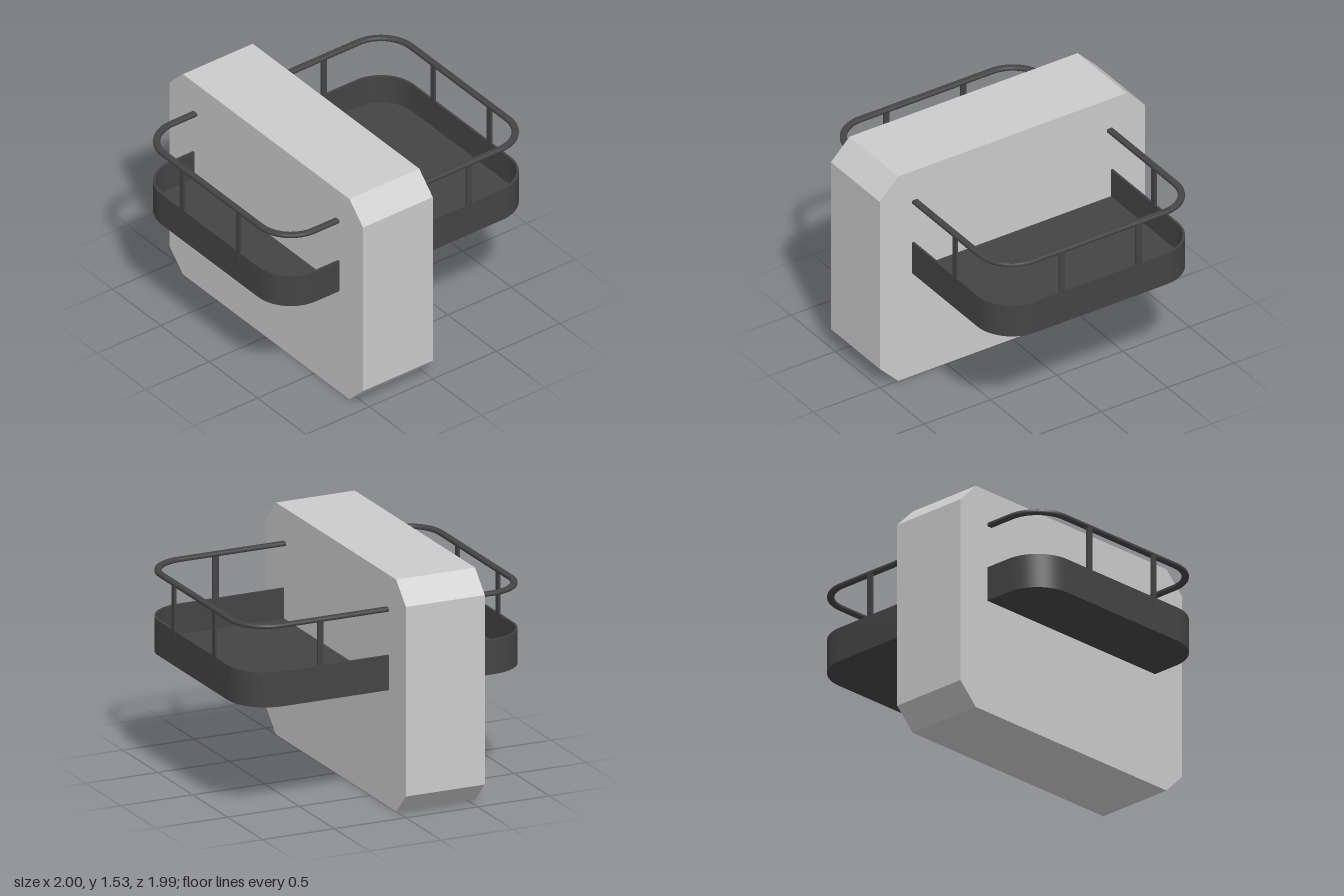
import * as THREE from 'three';
import { toCreasedNormals } from 'three/addons/utils/BufferGeometryUtils.js';

const HALF_X = 0.757, HALF_Z = 0.995, CORNER = 0.26;

// Rounded rectangle outline, pulled in by an inset
function outline(Type, inset) {
  const w = HALF_X - inset, h = HALF_Z - inset, r = CORNER - inset;
  const s = new Type();
  s.absarc(w - r, h - r, r, 0, Math.PI / 2);
  s.absarc(r - w, h - r, r, Math.PI / 2, Math.PI);
  s.absarc(r - w, r - h, r, Math.PI, Math.PI * 1.5);
  s.absarc(w - r, r - h, r, Math.PI * 1.5, Math.PI * 2);
  s.closePath();
  return s;
}

// Horizontal slab or ring, standing on height y
function slab(shape, y, height, bevel = 0) {
  const g = new THREE.ExtrudeGeometry(shape, {
    depth: height - 2 * bevel, curveSegments: 8, bevelEnabled: bevel > 0,
    bevelThickness: bevel, bevelSize: bevel, bevelOffset: -bevel, bevelSegments: 3,
  });
  g.rotateX(-Math.PI / 2);
  g.translate(0, y + bevel, 0);
  return toCreasedNormals(g, 0.7);
}

function ring(thickness) {
  const s = outline(THREE.Shape, 0);
  s.holes.push(outline(THREE.Path, thickness));
  return s;
}

export function createModel() {
  const model = new THREE.Group();
  const grey = new THREE.MeshStandardMaterial({ color: 0xcccccc });
  const dark = new THREE.MeshStandardMaterial({ color: 0x444444 });
  const add = (name, geometry, material) => {
    const mesh = new THREE.Mesh(geometry, material);
    mesh.name = name;
    model.add(mesh);
    return mesh;
  };

  // Upright wall block with cut corners
  const c = 0.14, top = 1.53;
  const face = new THREE.Shape([
    [c - 1, 0], [1 - c, 0], [1, c], [1, top - c],
    [1 - c, top], [c - 1, top], [-1, top - c], [-1, c],
  ].map(([x, y]) => new THREE.Vector2(x, y)));
  add('wallBlock', new THREE.ExtrudeGeometry(face, { depth: 0.55, bevelEnabled: false }), grey);

  // Balcony tray passing through the block
  add('balconyFloor', slab(outline(THREE.Shape, 0.004), 0.77, 0.03), dark);
  add('balconyParapet', slab(ring(0.015), 0.77, 0.23), dark);
  add('handrail', slab(ring(0.045), 1.285, 0.027, 0.01), dark);

  // Posts: two at the front, two at the back, one on each rear side
  const post = new THREE.BoxGeometry(0.04, 0.36, 0.016);
  for (const side of [-1, 1]) {
    for (const end of [-1, 1]) {
      add('railPost', post, dark).position.set(side * 0.29, 1.11, end * (HALF_Z - 0.007));
    }
    const sidePost = add('sideRailPost', post, dark);
    sidePost.position.set(side * (HALF_X - 0.007), 1.11, -0.475);
    sidePost.rotation.y = Math.PI / 2;
  }
  return model;
}
